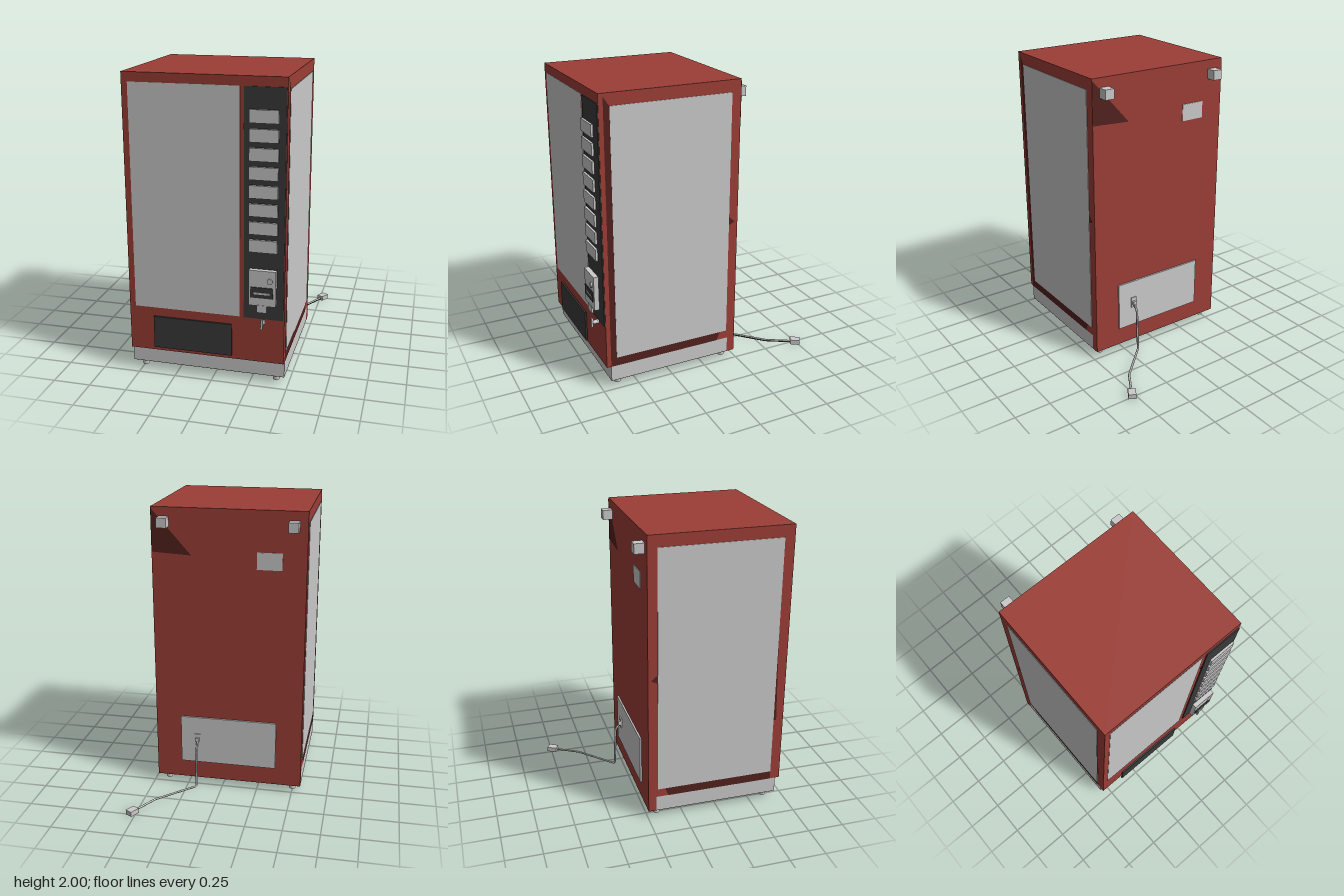
import * as THREE from 'three';

const red = new THREE.MeshStandardMaterial({ color: 0x9c3e36 });
red.name = 'cabinet red';
const maroon = new THREE.MeshStandardMaterial({ color: 0x52211d, side: THREE.DoubleSide });
maroon.name = 'dark maroon';
const grey = new THREE.MeshStandardMaterial({ color: 0xcacaca });
grey.name = 'light grey';
const dark = new THREE.MeshStandardMaterial({ color: 0x3a3a3a });
dark.name = 'charcoal';

export function createModel() {
  const group = new THREE.Group();

  function add(name, geometry, material, x = 0, y = 0, z = 0) {
    const mesh = new THREE.Mesh(geometry, material);
    mesh.name = name;
    mesh.position.set(x, y, z);
    group.add(mesh);
    return mesh;
  }
  // Box given by its extents along each axis
  function box(name, material, [x0, x1], [y0, y1], [z0, z1]) {
    return add(name, new THREE.BoxGeometry(x1 - x0, y1 - y0, z1 - z0), material,
      (x0 + x1) / 2, (y0 + y1) / 2, (z0 + z1) / 2);
  }
  function disc(name, material, r, depth, x, y, z, sides = 20) {
    return add(name, new THREE.CylinderGeometry(r, r, depth, sides).rotateX(Math.PI / 2), material, x, y, z);
  }
  // Flat painted patch on a side wall, given by [z, y] corners; side is +1 or -1
  function sidePatch(name, side, corners) {
    const shape = new THREE.Shape(corners.map(([z, y]) => new THREE.Vector2(-side * z, y)));
    const geometry = new THREE.ShapeGeometry(shape).rotateY(side * Math.PI / 2);
    add(name, geometry, maroon, side > 0 ? right + 0.0015 : left - 0.0015);
  }

  // Cabinet, rear post and recessed plinth
  const left = -0.56, right = 0.475;
  box('cabinet', red, [left, right], [0.16, 2], [-0.245, 0.715]);
  box('rearSkirt', red, [left, right], [0.052, 0.16], [-0.245, -0.19]);
  box('plinth', grey, [left, right], [0.052, 0.16], [-0.19, 0.685]);
  box('underside', maroon, [left, right], [0.05, 0.052], [-0.245, 0.685]);

  // Side panels
  box('rightSidePanel', grey, [left - 0.003, left + 0.004], [0.22, 1.92], [-0.18, 0.645]);
  box('leftSidePanel', grey, [right - 0.004, right + 0.003], [0.22, 1.92], [-0.18, 0.645]);

  // Dark borders and patches on the walls
  sidePatch('leftFrontBorder', 1, [[0.685, 0.16], [0.645, 0.16], [0.645, 1.92], [0.685, 1.98]]);
  sidePatch('rightFrontBorder', -1, [[0.665, 0.63], [0.645, 0.63], [0.645, 1.25]]);
  for (const side of [1, -1]) {
    sidePatch('lowerBorder', side, [[0.645, 0.16], [-0.105, 0.16], [-0.13, 0.22], [0.645, 0.22]]);
    sidePatch('sideMark', side, [[-0.18, 1.02], [-0.225, 1.04], [-0.18, 1.08]]);
  }
  const backPatch = new THREE.Shape([[-0.475, 1.99], [-0.475, 1.7], [-0.205, 1.685]]
    .map((p) => new THREE.Vector2(...p)));
  add('backPatch', new THREE.ShapeGeometry(backPatch).rotateY(Math.PI), maroon, 0, 0, -0.2465);
  box('frontMark', maroon, [0.204, 0.213], [1.68, 1.72], [0.71, 0.717]);

  // Front display panel, control column and delivery flap
  box('displayPanel', grey, [-0.52, 0.185], [0.465, 1.94], [0.711, 0.717]);
  box('controlColumn', dark, [0.213, 0.47], [0.465, 1.94], [0.71, 0.722]);
  box('deliveryFlap', dark, [-0.39, 0.135], [0.19, 0.41], [0.726, 0.738]);

  // Selection buttons
  for (let i = 0; i < 8; i++) {
    const y = 1.768 - i * 0.1153;
    box('selectionButton', grey, [0.248, 0.428], [y - 0.04, y + 0.04], [0.733, 0.748]);
  }

  // Coin unit with lock, slot and return tab
  box('coinUnit', grey, [0.255, 0.427], [0.575, 0.81], [0.735, 0.768]);
  disc('lock', grey, 0.018, 0.012, 0.39, 0.745, 0.772);
  box('coinSlotPlate', dark, [0.267, 0.41], [0.63, 0.7], [0.765, 0.774]);
  box('coinSlot', grey, [0.287, 0.39], [0.655, 0.667], [0.772, 0.777]);
  box('returnTab', grey, [0.308, 0.37], [0.53, 0.58], [0.757, 0.771]);

  // Door handle
  disc('handleFlange', grey, 0.016, 0.012, 0.338, 0.442, 0.72);
  disc('handleShaft', grey, 0.014, 0.04, 0.338, 0.442, 0.735, 12);
  box('handleGrip', grey, [0.331, 0.345], [0.41, 0.475], [0.752, 0.766]);

  // Adjustable feet
  for (const x of [-0.497, 0.411]) {
    for (const z of [-0.175, 0.62]) {
      add('footPad', new THREE.CylinderGeometry(0.023, 0.023, 0.03, 16), grey, x, 0.015, z);
      add('footStem', new THREE.CylinderGeometry(0.02, 0.02, 0.01, 12), dark, x, 0.034, z);
      add('footNut', new THREE.CylinderGeometry(0.027, 0.027, 0.012, 6), grey, x, 0.044, z);
    }
  }

  // Rear spacers, label and service plate
  for (const x of [-0.473, 0.388]) {
    box('rearSpacer', grey, [x - 0.033, x + 0.033], [1.872, 1.938], [-0.312, -0.24]);
  }
  box('rearLabel', grey, [-0.4, -0.232], [1.61, 1.725], [-0.249, -0.242]);
  box('servicePlate', grey, [-0.38, 0.295], [0.18, 0.525], [-0.257, -0.242]);

  // Power socket, cord with a dark underside, and plug
  box('powerSocket', grey, [0.155, 0.197], [0.325, 0.4], [-0.266, -0.25]);
  box('socketPlug', grey, [0.163, 0.189], [0.345, 0.375], [-0.282, -0.26]);
  const points = [
    [0.175, 0.36, -0.265], [0.175, 0.35, -0.275], [0.175, 0.305, -0.303], [0.175, 0.025, -0.316],
    [0.182, 0.015, -0.326], [0.415, 0.015, -0.552], [0.51, 0.015, -0.715],
  ].map((p) => new THREE.Vector3(...p));
  const path = new THREE.CurvePath();
  for (let i = 1; i < points.length; i++) path.add(new THREE.LineCurve3(points[i - 1], points[i]));
  add('powerCord', new THREE.TubeGeometry(path, 120, 0.007, 8), grey);
  add('cordUnderside', new THREE.TubeGeometry(path, 120, 0.0065, 8), dark, 0.001, -0.003, 0.003);
  const plug = add('mainsPlug', new THREE.BoxGeometry(0.052, 0.034, 0.07), grey, 0.522, 0.018, -0.738);
  plug.rotation.y = -0.53;

  return group;
}
